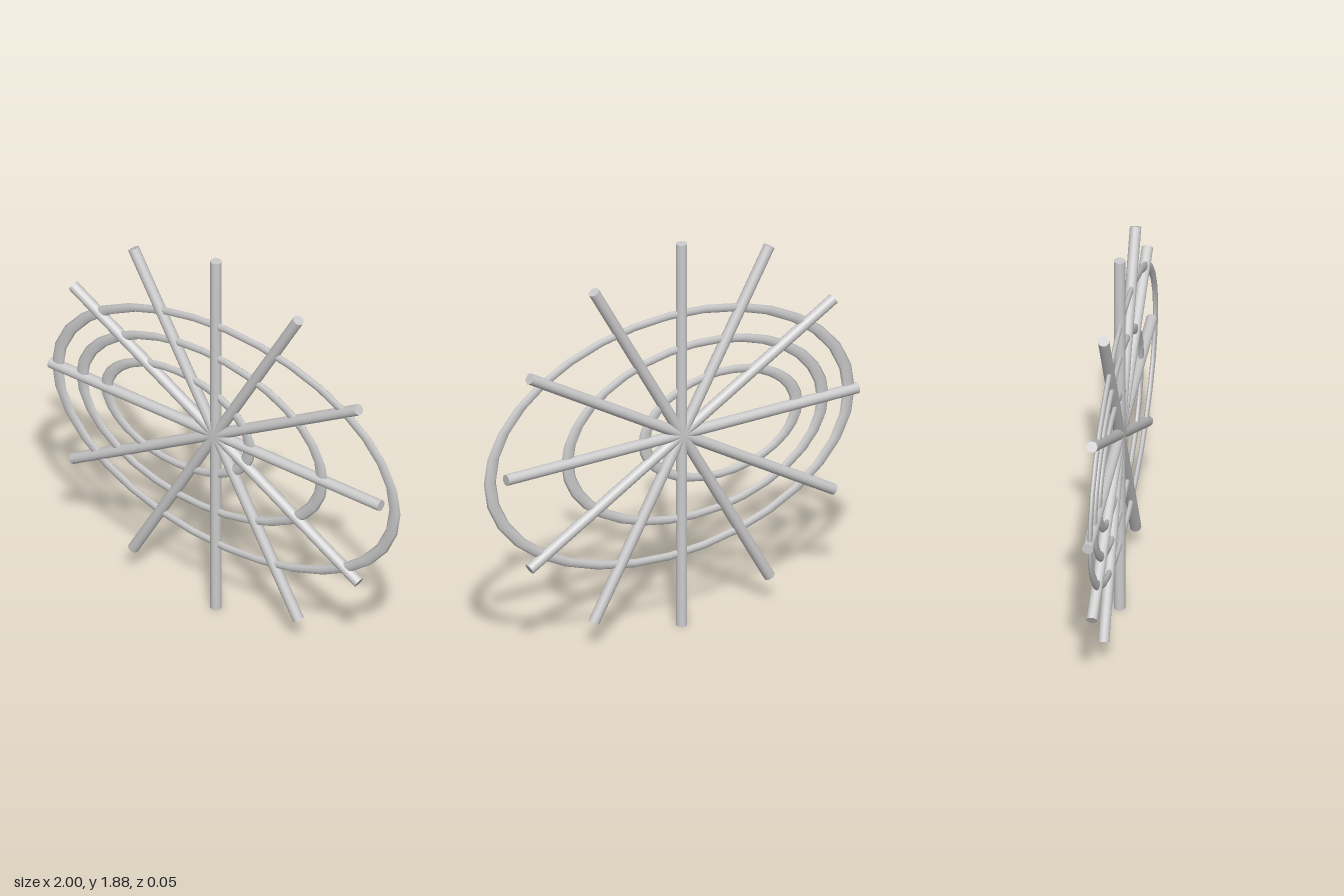
import * as THREE from 'three';

const HUB = { x: -0.06, y: 0.942 };
const SPOKE_LENGTH = 1.884;
const TUBE = 0.032;

export function createModel() {
  const group = new THREE.Group();
  const material = new THREE.MeshStandardMaterial({ color: 0xcccccc });

  // Six full-length rods crossing at the hub give twelve spokes
  const rod = new THREE.CylinderGeometry(0.026, 0.026, SPOKE_LENGTH, 16);
  for (let i = 0; i < 6; i++) {
    const spoke = new THREE.Mesh(rod, material);
    spoke.name = `spoke${i + 1}`;
    spoke.position.set(HUB.x, HUB.y, 0);
    spoke.rotation.z = (i * Math.PI) / 6;
    group.add(spoke);
  }

  // Three flattened oval rings, drifting off the hub as they shrink
  const rings = [
    { name: 'outerRing', x: 0.003, radius: 0.963 },
    { name: 'middleRing', x: -0.135, radius: 0.685 },
    { name: 'innerRing', x: -0.272, radius: 0.408 },
  ];
  for (const { name, x, radius } of rings) {
    const ring = new THREE.Mesh(new THREE.TorusGeometry(radius, TUBE, 8, 32), material);
    ring.name = name;
    ring.position.set(x, 0.945, 0.005);
    ring.scale.set(1, 0.617, 0.36);
    group.add(ring);
  }

  return group;
}
